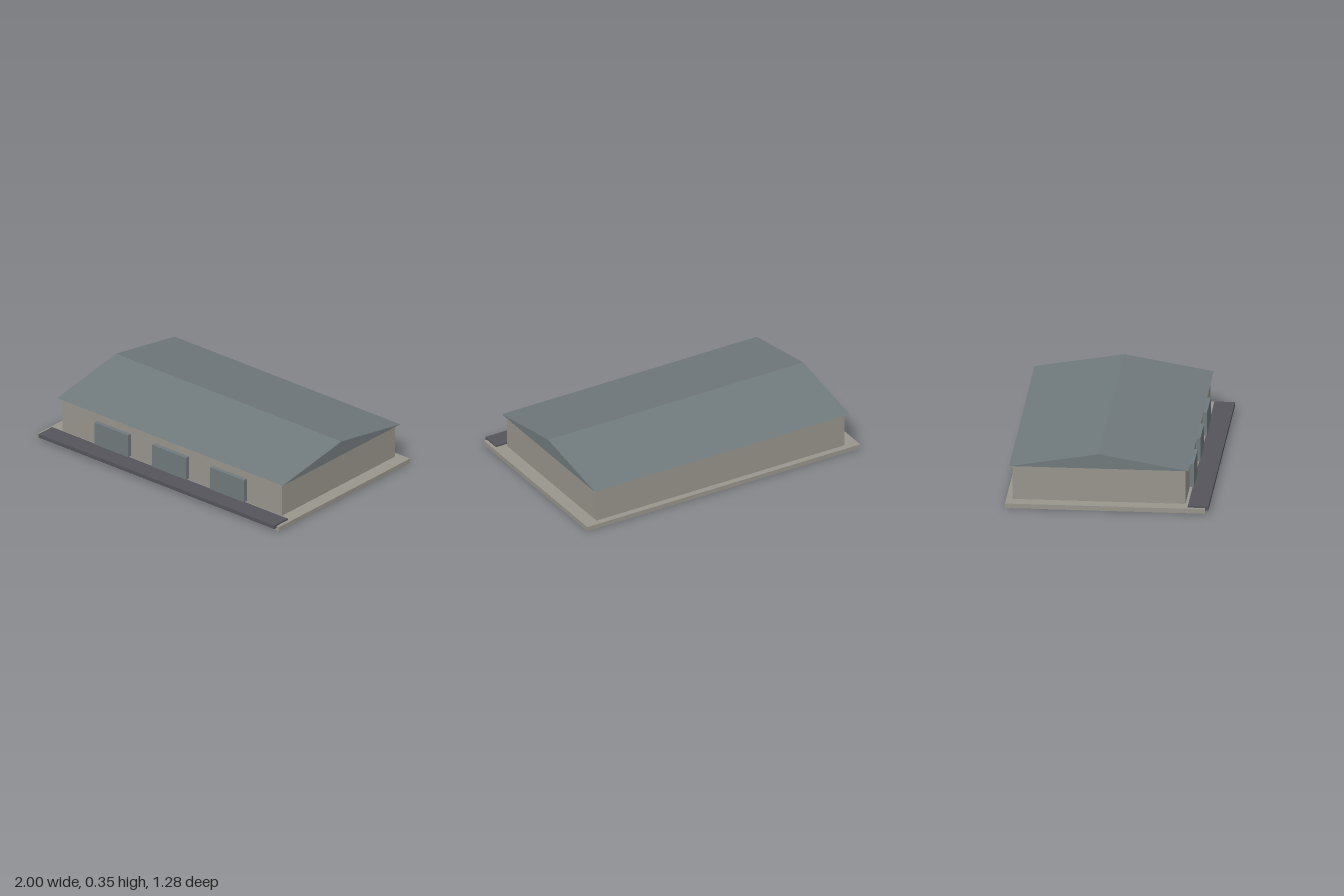
import * as THREE from 'three';

const material = (name, color) => {
  const m = new THREE.MeshStandardMaterial({ color });
  m.name = name;
  return m;
};

export function createModel() {
  const group = new THREE.Group();
  const concrete = material('concrete', 0x98958c);
  const steel = material('blue grey steel', 0x70797c);
  const asphalt = material('dark asphalt', 0x56545c);

  const add = (name, geometry, mat) => {
    const mesh = new THREE.Mesh(geometry, mat);
    mesh.name = name;
    group.add(mesh);
  };

  // Box given by its lower and upper limits on each axis
  const box = (name, mat, [x0, x1], [y0, y1], [z0, z1]) => {
    const g = new THREE.BoxGeometry(x1 - x0, y1 - y0, z1 - z0);
    g.translate((x0 + x1) / 2, (y0 + y1) / 2, (z0 + z1) / 2);
    add(name, g, mat);
  };

  // Ground slab, building body and front apron
  box('foundationSlab', concrete, [-1, 1], [0, 0.03], [-0.64, 0.62]);
  box('walls', concrete, [-0.91, 0.91], [0.03, 0.258], [-0.6, 0.49]);
  box('apron', asphalt, [-0.977, 0.977], [0.015, 0.04], [0.51, 0.64]);

  // Three large doors standing proud of the front wall
  [-0.48, 0, 0.48].forEach((x, i) =>
    box(`door${i + 1}`, steel, [x - 0.14, x + 0.14], [0.04, 0.193], [0.485, 0.518]));

  // Gable roof: triangular section extruded along the ridge (x axis)
  const section = new THREE.Shape([
    new THREE.Vector2(-0.51, 0.257),
    new THREE.Vector2(0.62, 0.257),
    new THREE.Vector2(0.055, 0.353),
  ]);
  const roof = new THREE.ExtrudeGeometry(section, { depth: 1.87, bevelEnabled: false });
  roof.translate(0, 0, -0.935);
  roof.rotateY(Math.PI / 2);
  add('gableRoof', roof, steel);

  return group;
}
